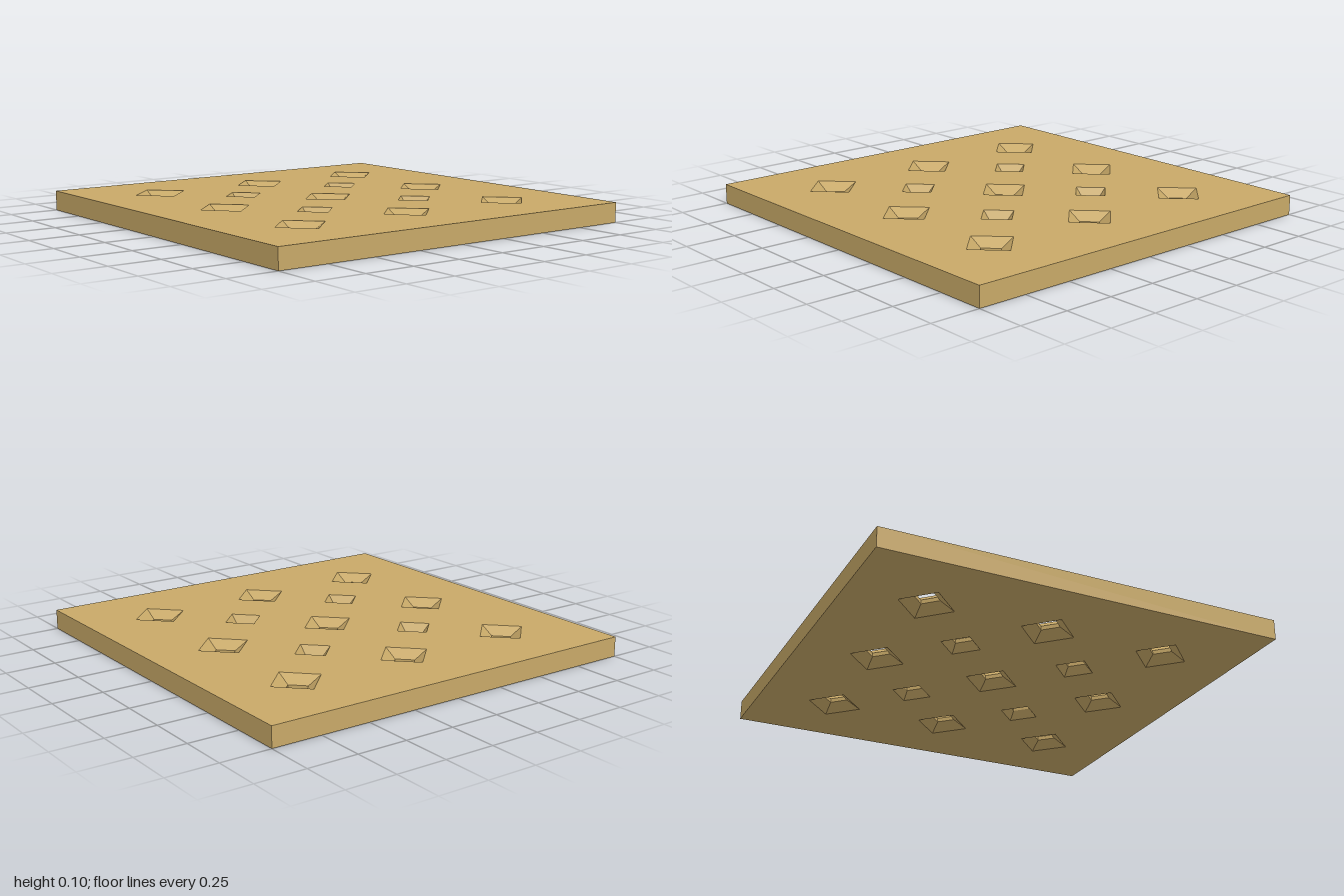
import * as THREE from 'three';

const THICK = 0.1, CHAMFER = 0.04, PITCH = 0.61;

export function createModel() {
  const group = new THREE.Group();
  group.name = 'perforatedPanel';
  const material = new THREE.MeshStandardMaterial({ color: 0xc8a968, flatShading: true });

  const add = (name, geometry, x = 0, y = 0, z = 0) => {
    const mesh = new THREE.Mesh(geometry, material);
    mesh.name = name;
    mesh.position.set(x, y, z);
    group.add(mesh);
  };

  // Hole layout: a 3 x 3 grid of wide holes with a 2 x 2 grid of narrow ones between
  const holes = [];
  const grid = (steps, rim, neck, name) => {
    for (const i of steps) for (const j of steps)
      holes.push({ x: i * PITCH, z: j * PITCH, rim, neck, name });
  };
  grid([-1, 0, 1], 0.137, 0.066, 'wideHole');
  grid([-0.5, 0.5], 0.102, 0.061, 'narrowHole');

  // Square faces pierced by the diamond rims
  const face = new THREE.Shape([[-1, -1], [1, -1], [1, 1], [-1, 1]].map(p => new THREE.Vector2(...p)));
  for (const { x, z, rim } of holes) {
    face.holes.push(new THREE.Path([
      new THREE.Vector2(x + rim, -z), new THREE.Vector2(x, -z - rim),
      new THREE.Vector2(x - rim, -z), new THREE.Vector2(x, -z + rim),
    ]));
  }
  add('topFace', new THREE.ShapeGeometry(face).rotateX(-Math.PI / 2), 0, THICK, 0);
  add('bottomFace', new THREE.ShapeGeometry(face).rotateX(Math.PI / 2));

  // Outer edge of the slab
  const edge = [new THREE.Vector2(Math.SQRT2, 0), new THREE.Vector2(Math.SQRT2, THICK)];
  add('outerEdge', new THREE.LatheGeometry(edge, 4).rotateY(Math.PI / 4));

  // Four-sided hole walls, flared at both ends and facing inward
  for (const { x, z, rim, neck, name } of holes) {
    const profile = [
      new THREE.Vector2(rim, THICK), new THREE.Vector2(neck, THICK - CHAMFER),
      new THREE.Vector2(neck, CHAMFER), new THREE.Vector2(rim, 0),
    ];
    add(name, new THREE.LatheGeometry(profile, 4), x, 0, z);
  }
  return group;
}
